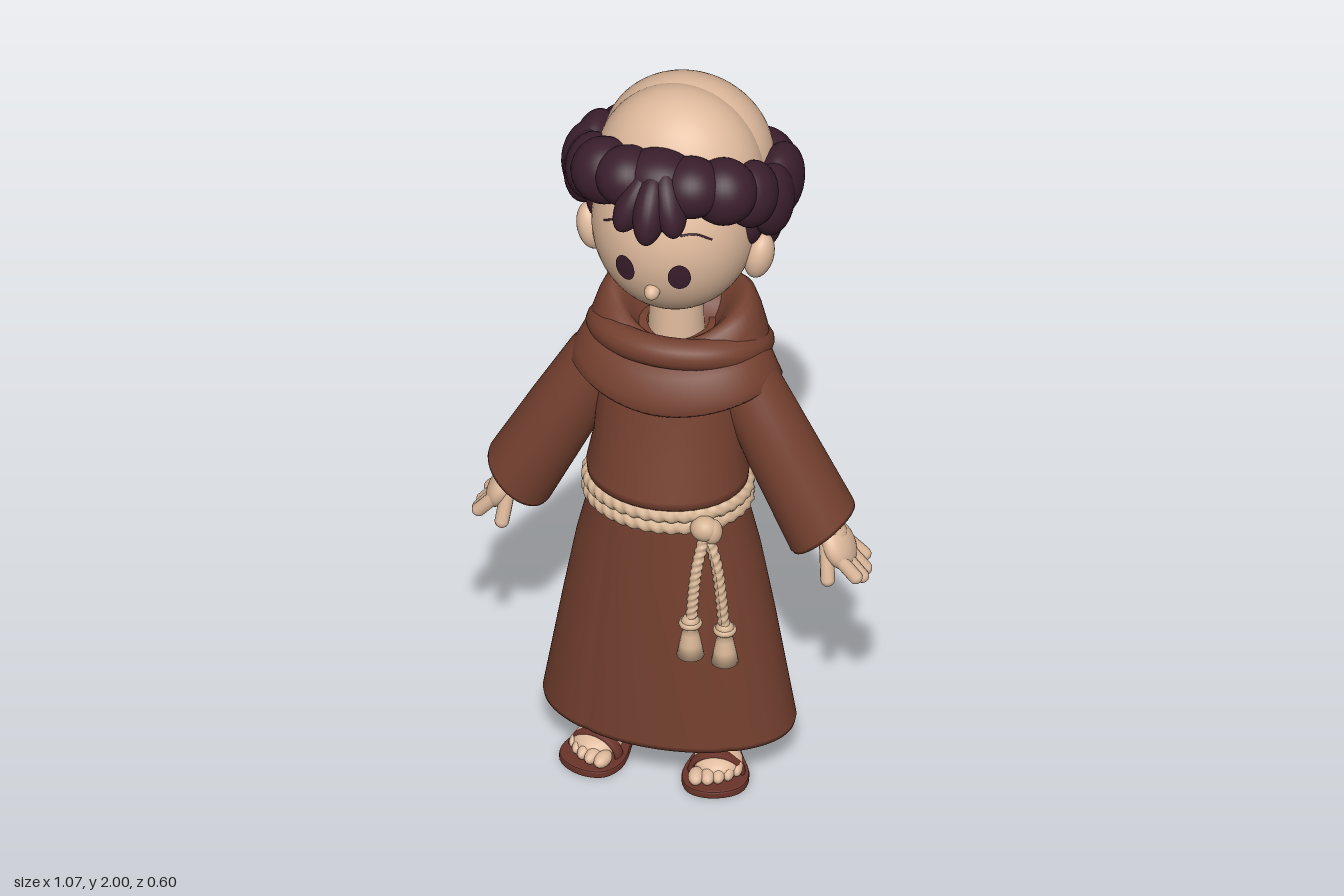
import * as THREE from 'three';

const mat = (name, color, side = THREE.FrontSide) => {
  const m = new THREE.MeshStandardMaterial({ color, side });
  m.name = name;
  return m;
};
const skin = mat('skin', 0xdfba9d);
const dark = mat('dark plum', 0x3b1f2d);
const cloth = mat('brown cloth', 0x74402f, THREE.DoubleSide);
const rope = mat('rope', 0xd4b393);
const leather = mat('leather', 0x6b342a);

const add = (parent, name, geo, m) => {
  const mesh = new THREE.Mesh(geo, m);
  mesh.name = name;
  parent.add(mesh);
  return mesh;
};
const group = (parent, name) => {
  const g = new THREE.Group();
  g.name = name;
  parent.add(g);
  return g;
};
const V = (x, y, z) => new THREE.Vector3(x, y, z);

function blob(parent, name, m, [x, y, z, rx, ry, rz], n = 28) {
  const b = add(parent, name, new THREE.SphereGeometry(1, n, Math.round(n * 0.7)), m);
  b.position.set(x, y, z);
  b.scale.set(rx, ry, rz);
  return b;
}

// Capsule between two points
function limb(parent, name, m, a, b, r) {
  const d = b.clone().sub(a);
  const l = add(parent, name, new THREE.CapsuleGeometry(r, d.length(), 6, 12), m);
  l.position.copy(a).addScaledVector(d, 0.5);
  l.quaternion.setFromUnitVectors(V(0, 1, 0), d.normalize());
  return l;
}

// Skin over elliptical rings, listed top down: [y, rx, rz, centre z, tilt, droop, lean]
function loft(rows, n = 64, radius = () => 1) {
  const pos = [], idx = [];
  rows.forEach(([y, rx, rz, cz = 0, tilt = 0, droop = 0, lean = 0], i) => {
    for (let j = 0; j < n; j++) {
      const a = (j / n) * Math.PI * 2, s = Math.sin(a), c = Math.cos(a), k = radius(a, i);
      pos.push(rx * k * c, y + tilt * s - droop * s * s + lean * c, cz + rz * k * s);
      if (i < rows.length - 1) {
        const p = i * n + j, q = i * n + (j + 1) % n;
        idx.push(p, q, p + n, q, q + n, p + n);
      }
    }
  });
  const g = new THREE.BufferGeometry();
  g.setAttribute('position', new THREE.Float32BufferAttribute(pos, 3));
  g.setIndex(idx);
  g.computeVertexNormals();
  return g;
}

// Closed loop around the body: [rx, rz, centre z, y, tilt, droop]
function loop([rx, rz, cz, y, tilt = 0, droop = 0]) {
  const pts = [];
  for (let i = 0; i < 24; i++) {
    const a = (i / 24) * Math.PI * 2, s = Math.sin(a);
    pts.push(V(rx * Math.cos(a), y + tilt * s - droop * s * s, cz + rz * s));
  }
  return new THREE.CatmullRomCurve3(pts, true);
}

// Tube whose surface is pushed in and out along a spiral
function twisted(path, r, turns, closed) {
  const g = new THREE.TubeGeometry(path, turns * 7, r, 10, closed);
  const p = g.attributes.position, nm = g.attributes.normal, uv = g.attributes.uv;
  for (let i = 0; i < p.count; i++) {
    const d = r * 0.11 * Math.cos(Math.PI * 2 * (2 * uv.getY(i) + turns * uv.getX(i)));
    p.setXYZ(i, p.getX(i) + nm.getX(i) * d, p.getY(i) + nm.getY(i) * d, p.getZ(i) + nm.getZ(i) * d);
  }
  g.computeVertexNormals();
  return g;
}

// Face ellipsoid, also used to lay the features on its surface
const FACE = [0, 1.635, -0.01, 0.215, 0.248, 0.212];
const faceZ = (x, y) => FACE[2] + FACE[5] * Math.sqrt(1 - (x / FACE[3]) ** 2 - ((y - FACE[1]) / FACE[4]) ** 2);

function buildHead(root) {
  const head = group(root, 'head');
  blob(head, 'face', skin, FACE, 48);
  blob(head, 'frontCrown', skin, [0, 1.76, -0.055, 0.222, 0.24, 0.185], 48);
  blob(head, 'backCrown', skin, [0, 1.765, -0.13, 0.226, 0.222, 0.176], 48);
  blob(head, 'nose', skin, [0, 1.54, 0.19, 0.02, 0.022, 0.025]);
  add(head, 'neck', new THREE.CylinderGeometry(0.065, 0.075, 0.2, 32), skin).position.set(0, 1.35, -0.025);

  for (const s of [-1, 1]) {
    const ear = blob(head, 'ear', skin, [s * 0.225, 1.56, -0.017, 0.038, 0.068, 0.046]);
    ear.rotation.z = -s * 0.2;
    const eye = new THREE.CircleGeometry(1, 32);
    const p = eye.attributes.position;
    for (let i = 0; i < p.count; i++) {
      const x = s * 0.073 + p.getX(i) * 0.028, y = 1.6 + p.getY(i) * 0.041;
      p.setXYZ(i, x, y, faceZ(x, y) + 0.004);
    }
    eye.computeVertexNormals();
    add(head, 'eye', eye, dark);
    const brow = [[0.07, 1.723], [0.105, 1.724], [0.145, 1.7]].map(([x, y]) => V(s * x, y, faceZ(x, y) + 0.001));
    add(head, 'eyebrow', new THREE.TubeGeometry(new THREE.CatmullRomCurve3(brow), 12, 0.003, 6), dark);
  }

  // Ring of curls around the bare crown
  const hair = group(head, 'hair');
  blob(hair, 'backHair', dark, [0, 1.65, -0.135, 0.262, 0.19, 0.17], 40);
  const pairs = [
    [0.085, 1.845, 0.125, 0.085, 0.08, 0.085], [0.16, 1.82, 0.085, 0.088, 0.09, 0.085],
    [0.215, 1.775, 0.015, 0.068, 0.09, 0.085], [0.25, 1.72, -0.05, 0.056, 0.1, 0.085],
    [0.247, 1.725, -0.13, 0.06, 0.1, 0.1], [0.18, 1.71, -0.195, 0.095, 0.11, 0.09],
    [0.12, 1.685, -0.21, 0.12, 0.1, 0.092], [0.205, 1.67, -0.015, 0.032, 0.07, 0.052],
    [0.15, 1.585, -0.135, 0.1, 0.11, 0.1],
  ];
  for (const s of [-1, 1]) for (const [x, ...rest] of pairs) blob(hair, 'curl', dark, [s * x, ...rest]);
  blob(hair, 'sideCurl', dark, [-0.262, 1.72, -0.09, 0.062, 0.095, 0.09]);
  // Fringe tuft
  for (const [x, y, z, tilt] of [[-0.045, 1.82, 0.175, -0.35], [0, 1.815, 0.2, 0], [0.042, 1.83, 0.175, 0.3]]) {
    const t = blob(hair, 'fringe', dark, [x, y, z, 0.045, 0.1, 0.06]);
    t.rotation.set(-0.6, 0, tilt);
  }
  blob(hair, 'fringeRoot', dark, [0, 1.86, 0.12, 0.1, 0.07, 0.085]);
}

function buildRobe(root) {
  const robe = group(root, 'robe');
  add(robe, 'torso', loft([
    [1.28, 0.1, 0.1, -0.01], [1.26, 0.17, 0.13, 0], [1.15, 0.19, 0.147, 0.012], [0.98, 0.198, 0.165, 0.035],
    [0.9, 0.212, 0.185, 0.05], [0.875, 0.21, 0.18, 0.05], [0.85, 0.195, 0.16, 0.045],
  ]), cloth);
  // Skirt with two front creases and a hollow inside
  const crease = (a, i) => 1 - (i > 1 && i < 6 ? 0.02 : 0) *
    (Math.exp(-(((a - 2.12) / 0.04) ** 2)) + Math.exp(-(((a - 0.9) / 0.04) ** 2)));
  add(robe, 'skirt', loft([
    [0.87, 0.195, 0.16, 0.045], [0.8, 0.207, 0.16, 0.045], [0.65, 0.243, 0.175, 0.042], [0.45, 0.28, 0.188, 0.038],
    [0.13, 0.335, 0.203, 0.035], [0.115, 0.332, 0.2, 0.035], [0.117, 0.316, 0.184, 0.035],
    [0.45, 0.255, 0.16, 0.038], [0.6, 0.01, 0.01, 0.04],
  ], 128, crease), cloth);

  // Shoulder cape, folded collar and the hood bag hanging behind
  const hood = group(robe, 'hood');
  add(hood, 'cape', loft([
    [1.29, 0.08, 0.08, -0.04], [1.3, 0.19, 0.14, -0.03, 0, 0.03], [1.26, 0.24, 0.178, -0.025, 0.01, 0.03],
    [1.2, 0.268, 0.198, -0.02, 0.035, 0.06], [1.175, 0.28, 0.203, -0.02, 0.045, 0.075],
    [1.163, 0.272, 0.195, -0.02, 0.045, 0.075], [1.18, 0.2, 0.14, -0.01, 0.03, 0.05],
  ]), cloth);
  add(hood, 'collar', loft([
    [1.24, 0.07, 0.07, -0.03], [1.34, 0.125, 0.1, -0.05, -0.025, 0.05], [1.375, 0.155, 0.118, -0.06, -0.03, 0.05],
    [1.386, 0.178, 0.132, -0.062, -0.03, 0.05], [1.378, 0.198, 0.148, -0.06, -0.03, 0.05],
    [1.34, 0.215, 0.168, -0.055, -0.02, 0.055], [1.285, 0.232, 0.188, -0.05, -0.005, 0.06],
    [1.262, 0.236, 0.194, -0.048, 0, 0.06], [1.245, 0.23, 0.188, -0.046, 0, 0.06], [1.24, 0.2, 0.16, -0.04, 0, 0.05],
  ]), cloth);
  add(hood, 'backFold', new THREE.TubeGeometry(loop([0.205, 0.16, -0.058, 1.245, 0.06, 0.02]), 72, 0.042, 14, true), cloth);
  blob(hood, 'hoodBag', cloth, [0, 1.2, -0.155, 0.2, 0.16, 0.105], 40).rotation.x = 0.12;
}

function buildArm(root, s) {
  const arm = group(root, s > 0 ? 'leftArm' : 'rightArm');
  arm.position.set(s * 0.2, 1.16, 0);
  arm.rotation.z = s * 0.478;
  arm.scale.x = s;
  add(arm, 'sleeve', loft([
    [0.07, 0.02, 0.02, 0], [0.05, 0.06, 0.06, 0], [0, 0.085, 0.085, 0], [-0.2, 0.095, 0.095, 0.012],
    [-0.445, 0.102, 0.104, 0.02, 0, 0, 0.022], [-0.457, 0.099, 0.1, 0.02, 0, 0, 0.022],
    [-0.45, 0.09, 0.09, 0.02, 0, 0, 0.022], [-0.38, 0.085, 0.085, 0.018], [-0.37, 0.01, 0.01, 0.018],
  ], 40), cloth);
  const hand = group(arm, 'hand');
  limb(hand, 'wrist', skin, V(0.005, -0.36, 0.018), V(0.012, -0.48, 0.018), 0.04);
  blob(hand, 'palm', skin, [0.015, -0.515, 0.02, 0.036, 0.068, 0.064]);
  [[-0.036, 0.59], [-0.006, 0.615], [0.026, 0.618], [0.057, 0.6]].forEach(([z, y]) =>
    limb(hand, 'finger', skin, V(0.018, -0.53, 0.018 + (z - 0.01) * 0.9), V(0.034, -y, z), 0.0185));
  limb(hand, 'thumb', skin, V(0.0, -0.495, 0.055), V(-0.03, -0.575, 0.078), 0.019);
}

function buildFoot(root, s) {
  const leg = group(root, s > 0 ? 'leftLeg' : 'rightLeg');
  leg.position.set(s * 0.128, 0, 0);
  leg.rotation.y = s * 0.2;
  leg.scale.x = s;
  add(leg, 'shin', new THREE.CylinderGeometry(0.06, 0.042, 0.45, 24), skin).position.set(0, 0.285, 0.005);
  blob(leg, 'heel', skin, [0, 0.055, 0.005, 0.044, 0.045, 0.045]);
  blob(leg, 'instep', skin, [0.002, 0.058, 0.075, 0.052, 0.042, 0.11]).rotation.x = 0.3;
  blob(leg, 'ballOfFoot', skin, [0.005, 0.042, 0.14, 0.064, 0.034, 0.07]);
  [-0.045, -0.015, 0.012, 0.036, 0.057].forEach((x, i) =>
    blob(leg, 'toe', skin, [x, 0.036, 0.208 - i * i * 0.003, 0.021 - i * 0.0015, 0.019, 0.034], 14));
  // Sandal sole outline, heel to toe
  const outline = [[0, -0.045], [0.042, -0.02], [0.052, 0.06], [0.083, 0.16], [0.066, 0.225],
    [0, 0.252], [-0.062, 0.232], [-0.08, 0.165], [-0.052, 0.06], [-0.042, -0.02]];
  const curve = new THREE.SplineCurve([...outline, outline[0]].map(([x, z]) => new THREE.Vector2(x, -z)));
  const sole = new THREE.ExtrudeGeometry(new THREE.Shape(curve.getPoints(48)), {
    depth: 0.012, bevelEnabled: true, bevelThickness: 0.005, bevelSize: 0.005, bevelSegments: 2 });
  const soleMesh = add(leg, 'sandalSole', sole, leather);
  soleMesh.rotation.x = -Math.PI / 2;
  soleMesh.position.y = 0.005;
  // Sandal strap
  const strap = add(leg, 'sandalStrap', new THREE.TorusGeometry(0.068, 0.007, 8, 28, Math.PI), leather);
  strap.position.set(0.003, 0.018, 0.158);
  strap.scale.set(1, 0.82, 2.8);
}

function buildBelt(root) {
  const belt = group(root, 'ropeBelt');
  for (const y of [0.852, 0.816]) add(belt, 'beltLoop', twisted(loop([0.206, 0.17, 0.047, y]), 0.0195, 36, true), rope);
  blob(belt, 'knot', rope, [0.145, 0.825, 0.205, 0.037, 0.034, 0.034]);
  blob(belt, 'knotWrap', rope, [0.165, 0.815, 0.2, 0.026, 0.035, 0.03]);
  const profile = [[0, 0.035], [0.018, 0.03], [0.028, 0.014], [0.018, -0.006], [0.023, -0.02], [0.029, -0.05], [0.036, -0.088], [0, -0.092]]
    .map(([r, y]) => new THREE.Vector2(r, y)).reverse();
  for (const [x, y, z] of [[0.125, 0.548, 0.262], [0.203, 0.51, 0.215]]) {
    const path = new THREE.CatmullRomCurve3([
      V(0.15, 0.82, 0.205), V(0.135 + (x - 0.125) * 0.6, 0.72, z * 0.5 + 0.11), V(x, y, z)]);
    add(belt, 'hangingCord', twisted(path, 0.015, 14, false), rope);
    const tassel = group(belt, 'tassel');
    tassel.position.set(x, y, z);
    add(tassel, 'tasselBody', new THREE.LatheGeometry(profile, 18), rope);
    const ring = add(tassel, 'tasselRing', new THREE.TorusGeometry(0.022, 0.009, 8, 18), rope);
    ring.rotation.x = Math.PI / 2;
    ring.position.y = 0.012;
  }
}

export function createModel() {
  const model = new THREE.Group();
  model.name = 'friar';
  buildHead(model);
  buildRobe(model);
  buildBelt(model);
  for (const s of [-1, 1]) {
    buildArm(model, s);
    buildFoot(model, s);
  }
  return model;
}
